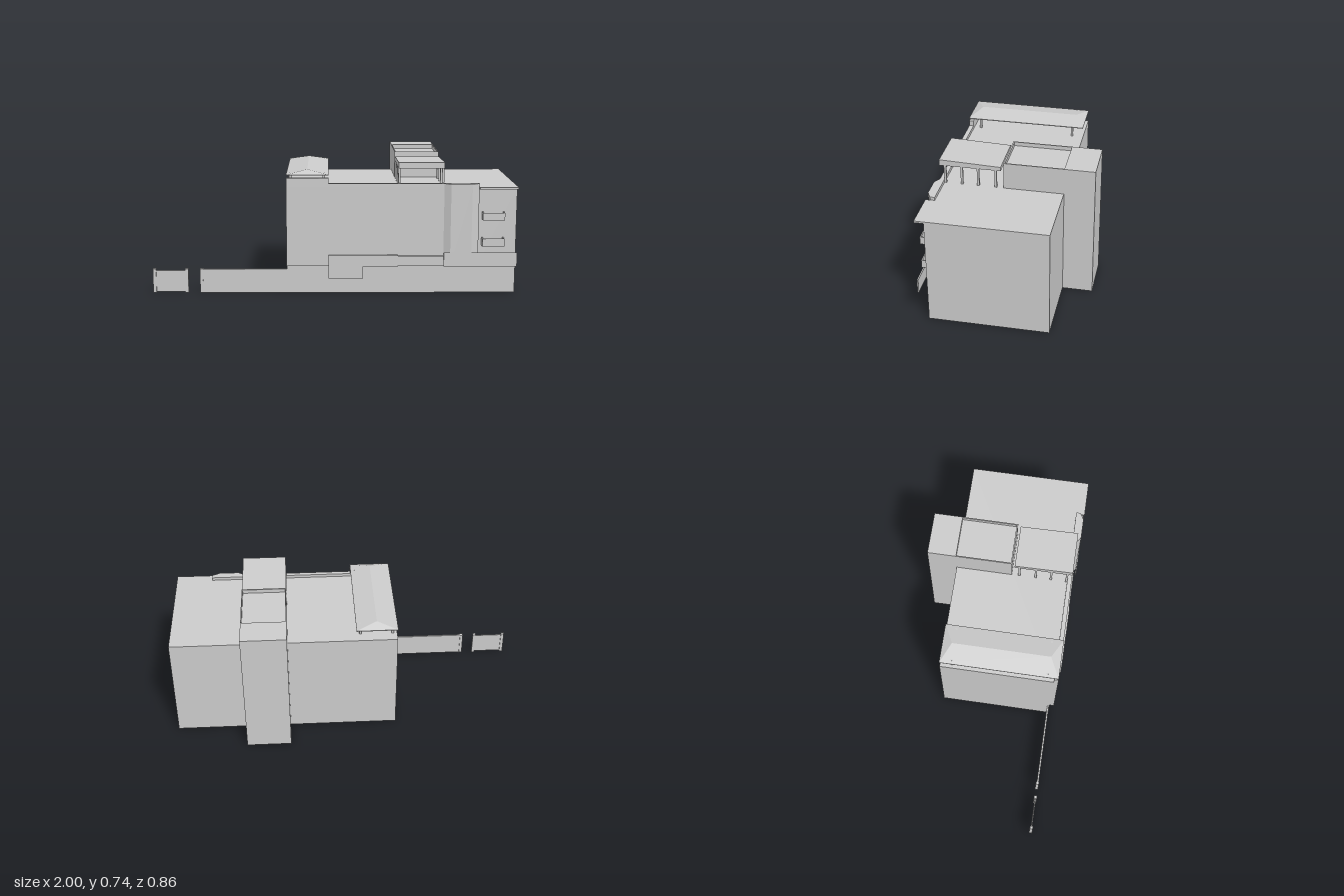
import * as THREE from 'three';

const mat = new THREE.MeshStandardMaterial({ color: 0xcccccc, flatShading: true, side: THREE.DoubleSide });

export function createModel() {
  const root = new THREE.Group();

  const add = (name, geo) => {
    const m = new THREE.Mesh(geo, mat);
    m.name = name;
    root.add(m);
    return m;
  };

  // Box from its minimum and maximum corners
  const box = (name, x0, x1, y0, y1, z0, z1) =>
    add(name, new THREE.BoxGeometry(x1 - x0, y1 - y0, z1 - z0)
      .translate((x0 + x1) / 2, (y0 + y1) / 2, (z0 + z1) / 2));

  const plan = (pts) => new THREE.Shape(pts.map(([x, z]) => new THREE.Vector2(x, -z)));
  const rect = (x0, x1, z0, z1) => [[x0, z0], [x1, z0], [x1, z1], [x0, z1]];

  // Solid plate rising from a plan outline, optionally with a hole
  const slab = (name, pts, y0, y1, hole) => {
    const shape = plan(pts);
    if (hole) shape.holes.push(plan(hole));
    const geo = new THREE.ExtrudeGeometry(shape, { depth: y1 - y0, bevelEnabled: false });
    return add(name, geo.rotateX(-Math.PI / 2).translate(0, y0, 0));
  };

  // Flat sheet at one height
  const sheet = (name, pts, y) =>
    add(name, new THREE.ShapeGeometry(plan(pts)).rotateX(-Math.PI / 2).translate(0, y, 0));

  // Thin upright wall along a plan path
  const wall = (name, pts, y0, y1) => {
    const pos = [];
    for (let i = 0; i < pts.length - 1; i++) {
      const [ax, az] = pts[i], [bx, bz] = pts[i + 1];
      pos.push(ax, y0, az, bx, y0, bz, bx, y1, bz, ax, y0, az, bx, y1, bz, ax, y1, az);
    }
    return surface(name, pos);
  };

  const surface = (name, pos) => {
    const geo = new THREE.BufferGeometry();
    geo.setAttribute('position', new THREE.Float32BufferAttribute(pos, 3));
    geo.computeVertexNormals();
    return add(name, geo);
  };

  // Main building: shell open at the base
  const L = -0.26, R = 1, F = 0.375, B = -0.265, roofY = 0.597, ledgeY = 0.158;
  const tL = 0.35, tR = 0.6, tB = -0.428, tF = 0.055;
  wall('groundFloorFront', [[L, F], [R, F]], 0, ledgeY);
  wall('rightFrontWall', [[0.79, F], [R, F]], ledgeY, roofY);
  wall('rightAndBackWall', [[R, F], [R, B], [tR, B]], 0, roofY);
  wall('leftAndBackWall', [[tL, B], [L, B], [L, F]], 0, roofY);
  sheet('mainRoof', rect(L, R, B, F), roofY);

  // Overhanging upper facade with a chamfered bay
  const facade = [[L, F], [L, 0.4], [0.6, 0.4], [0.635, 0.422], [0.75, 0.422], [0.79, 0.4], [0.79, F]];
  wall('upperFacade', facade, ledgeY, roofY);
  sheet('facadeUnderside', facade, ledgeY);
  slab('parapet', facade, roofY, 0.615);
  box('tallParapet', L, -0.03, 0.615, 0.645, F, 0.4);
  box('roofLip', 0.79, R, 0.587, roofY, F, 0.425);

  // Stair tower with a sunken roof
  wall('towerLowerWalls', [[tR, B], [tR, tB], [tL, tB], [tL, B]], 0, 0.72);
  wall('towerUpperWalls', [[tR, B], [tR, tF], [tL, tF], [tL, B]], roofY, 0.72);
  slab('towerRim', rect(tL, tR, tB, tF), 0.72, 0.744, rect(tL + 0.006, tR - 0.006, B, tF - 0.008));
  sheet('towerRoof', rect(tL, tR, B, tF), 0.722);

  // Terrace canopy with a sloping top
  const side = new THREE.Shape([[0.07, 0.697], [0.4, 0.697], [0.4, 0.73], [0.07, 0.719]]
    .map(([z, y]) => new THREE.Vector2(-z, y)));
  add('terraceCanopy', new THREE.ExtrudeGeometry(side, { depth: tR - tL, bevelEnabled: false })
    .rotateY(Math.PI / 2).translate(tL, 0, 0));
  for (const z of [0.37, 0.28, 0.192, 0.098])
    for (const x of [tL + 0.006, tR - 0.006])
      box('canopyPost', x - 0.006, x + 0.006, roofY, 0.697, z - 0.006, z + 0.006);

  // Thin hipped roof on posts
  const e = 0.663, r = 0.686, mx = -0.145, x1 = -0.03;
  const A = [L, e, 0.4], C = [x1, e, 0.4], D = [x1, e, B], E = [L, e, B];
  const P = [mx, r, 0.342], Q = [mx, r, -0.21];
  surface('hippedRoof', [A, C, P, C, D, Q, C, Q, P, D, E, Q, E, A, P, E, P, Q].flat());
  wall('hippedRoofEave', [[L, 0.4], [x1, 0.4], [x1, B], [L, B], [L, 0.4]], 0.659, e);
  for (const x of [-0.235, -0.055])
    for (const z of [0.335, -0.2])
      box('hippedRoofPost', x - 0.006, x + 0.006, roofY, 0.668, z - 0.006, z + 0.006);

  // Shopfront panels
  box('largePanel', -0.03, 0.16, 0.09, 0.22, 0.4, 0.416);
  box('middlePanel', 0.16, 0.35, 0.158, 0.22, 0.4, 0.417);
  box('narrowPanel', 0.35, 0.6, 0.163, 0.215, 0.4, 0.414);
  box('cornerPanel', 0.6, R, 0.16, 0.238, 0.422, 0.429);

  // Small balconies: open trays
  for (const [y0, y1] of [[0.27, 0.314], [0.415, 0.457]]) {
    box('balconyFloor', 0.81, 0.93, y0, y0 + 0.006, F, 0.422);
    box('balconyFront', 0.81, 0.93, y0, y1, 0.416, 0.422);
    for (const x of [0.81, 0.924]) box('balconySide', x, x + 0.006, y0, y1, F, 0.422);
  }

  // Boundary wall and gate
  box('boundaryWall', -0.725, L, 0, 0.133, 0.362, 0.372);
  box('boundaryPost', -0.74, -0.723, 0, 0.135, 0.357, 0.374);
  box('gate', -0.985, -0.82, 0.004, 0.125, 0.363, 0.369);
  for (const x of [-1, -0.822]) box('gatePost', x, x + 0.018, 0, 0.135, 0.357, 0.374);

  return root;
}
